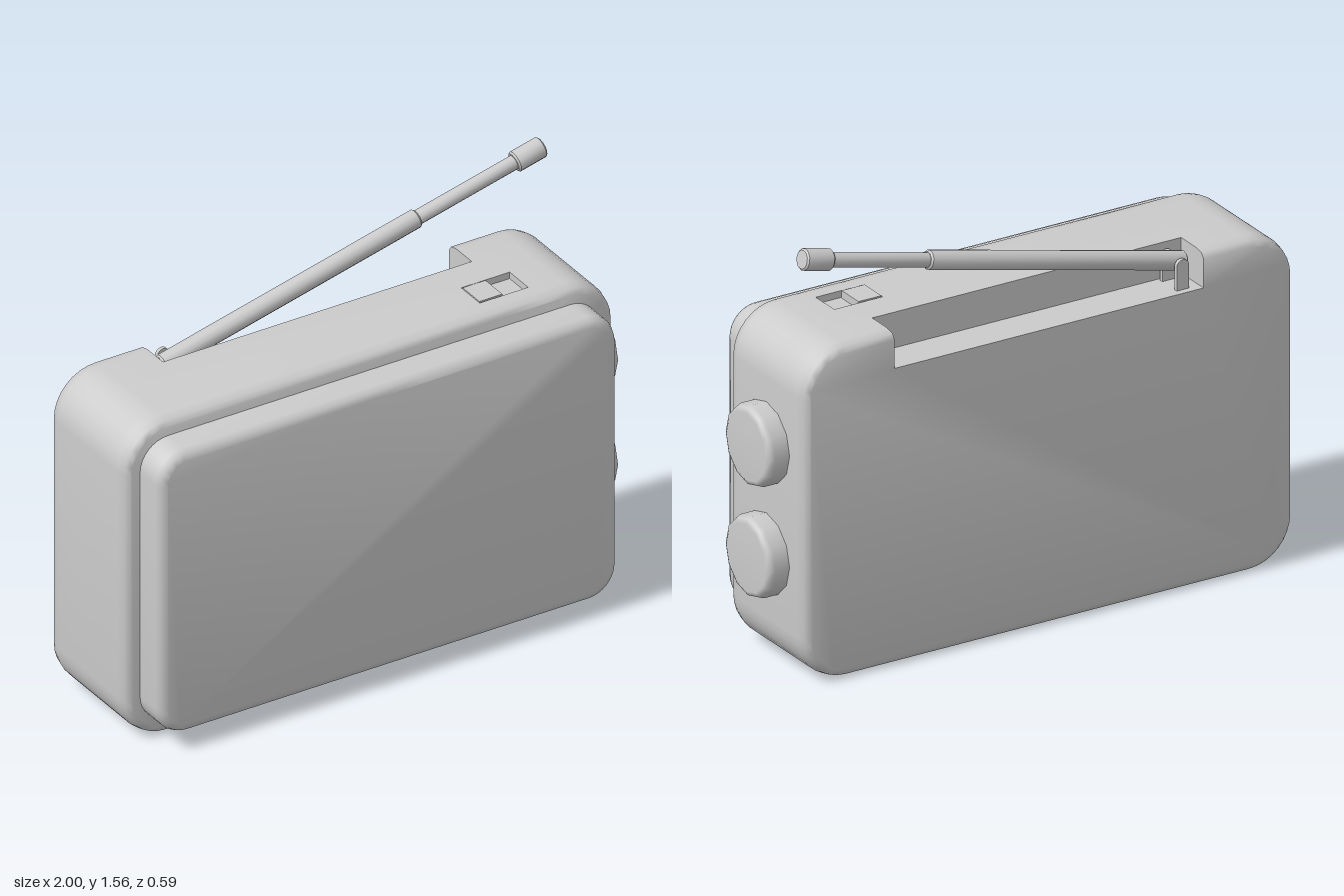
import * as THREE from 'three';
import { toCreasedNormals } from 'three/addons/utils/BufferGeometryUtils.js';

const material = new THREE.MeshStandardMaterial({ color: 0xcccccc });

function add(parent, name, geometry, x = 0, y = 0, z = 0) {
  const mesh = new THREE.Mesh(geometry, material);
  mesh.name = name;
  mesh.position.set(x, y, z);
  parent.add(mesh);
  return mesh;
}

// Rounded rectangle, counter-clockwise, with a rectangular cut {x0, x1, depth} in its top edge
function outline(box, inset, cut) {
  const { x0, x1, y0, y1, radius } = box;
  const r = radius - inset, steps = 8, points = [];
  const corners = [[x1 - radius, y0 + radius, -90], [x1 - radius, y1 - radius, 0],
    [x0 + radius, y1 - radius, 90], [x0 + radius, y0 + radius, 180]];
  corners.forEach(([cx, cy, start], i) => {
    for (let s = 0; s <= steps; s++) {
      const a = THREE.MathUtils.degToRad(start + 90 * s / steps);
      points.push(new THREE.Vector2(cx + r * Math.cos(a), cy + r * Math.sin(a)));
    }
    if (i === 1) {
      const top = y1 - inset, floor = cut.depth ? y1 - cut.depth : top;
      points.push(new THREE.Vector2(cut.x1, top), new THREE.Vector2(cut.x1, floor),
        new THREE.Vector2(cut.x0, floor), new THREE.Vector2(cut.x0, top));
    }
  });
  return points;
}

// Skin outlines placed at stations [z, inset, cut], listed from back to front
function loft(box, stations) {
  const rings = stations.map(([z, inset, cut]) =>
    outline(box, inset, cut).map(p => new THREE.Vector3(p.x, p.y, z)));
  const positions = [];
  const triangle = (a, b, c) => {
    if (new THREE.Triangle(a, b, c).getArea() < 1e-8) return;
    for (const p of [a, b, c]) positions.push(p.x, p.y, p.z);
  };
  for (let k = 0; k + 1 < rings.length; k++) {
    const a = rings[k], b = rings[k + 1];
    for (let i = 0; i < a.length; i++) {
      const j = (i + 1) % a.length;
      triangle(a[i], a[j], b[j]);
      triangle(a[i], b[j], b[i]);
    }
  }
  const back = rings[0], front = rings[rings.length - 1];
  const caps = ring => THREE.ShapeUtils.triangulateShape(ring.map(p => new THREE.Vector2(p.x, p.y)), []);
  for (const [a, b, c] of caps(back)) triangle(back[c], back[b], back[a]);
  for (const [a, b, c] of caps(front)) triangle(front[a], front[b], front[c]);
  const geometry = new THREE.BufferGeometry();
  geometry.setAttribute('position', new THREE.Float32BufferAttribute(positions, 3));
  return toCreasedNormals(geometry, 0.9);
}

// Rounded edge: stations going from the end face (z) inwards by depth
function bevel(z, depth, size, cut) {
  return [0, 45, 90].map(deg => {
    const a = THREE.MathUtils.degToRad(deg);
    return [z + depth * (1 - Math.cos(a)), size * (1 - Math.sin(a)), cut];
  });
}

export function createModel() {
  const model = new THREE.Group();
  model.name = 'portableRadio';

  // Case with the antenna recess at the back and the switch slot on top
  const recess = { x0: -0.645, x1: 0.565, depth: 0.13 };
  const slot = { x0: 0.445, x1: 0.635, depth: 0.025 };
  const flat = { x0: 0.445, x1: 0.635, depth: 0 };
  add(model, 'case', loft({ x0: -1, x1: 0.92, y0: 0, y1: 1.21, radius: 0.17 }, [
    ...bevel(-0.295, 0.045, 0.025, recess),
    [-0.155, 0, recess],
    [-0.155, 0, { ...recess, depth: 0 }],
    [-0.03, 0, flat],
    [-0.03, 0, slot],
    [0.085, 0, slot],
    [0.085, 0, flat],
    ...bevel(0.17, -0.045, 0.025, flat).reverse(),
  ]));

  // Raised front panel
  const plain = { x0: -0.1, x1: 0.1, depth: 0 };
  add(model, 'frontPanel', loft({ x0: -0.94, x1: 0.855, y0: 0.065, y1: 1.15, radius: 0.11 }, [
    [0.16, 0, plain],
    ...bevel(0.295, -0.03, 0.03, plain).reverse(),
  ]));

  // Sliding switch
  add(model, 'switchButton', new THREE.BoxGeometry(0.09, 0.035, 0.105), 0.492, 1.195, 0.0275);

  // Two dials on the side
  const dialProfile = [[0.145, -0.01], [0.145, 0.055], [0.138, 0.072], [0.122, 0.08], [0, 0.08]]
    .map(([r, h]) => new THREE.Vector2(r, h));
  const dial = new THREE.LatheGeometry(dialProfile, 12).rotateZ(-Math.PI / 2);
  add(model, 'upperDial', dial, 0.92, 0.81, -0.06);
  add(model, 'lowerDial', dial, 0.92, 0.405, -0.06);

  // Hinge: two rounded lugs and a pin
  const hinge = new THREE.Group();
  hinge.name = 'antennaHinge';
  hinge.position.set(-0.58, 1.165, -0.2175);
  model.add(hinge);
  const lugShape = new THREE.Shape();
  lugShape.moveTo(-0.024, -0.09).lineTo(0.024, -0.09).lineTo(0.024, 0).absarc(0, 0, 0.024, 0, Math.PI);
  const lug = new THREE.ExtrudeGeometry(lugShape, { depth: 0.014, bevelEnabled: false, curveSegments: 8 });
  for (const z of [-0.052, 0.038]) add(hinge, 'hingeLug', lug, 0, 0, z);
  add(hinge, 'hingePin', new THREE.CylinderGeometry(0.012, 0.012, 0.09, 10).rotateX(Math.PI / 2));

  // Telescopic antenna, built along y and then leaned over
  const antenna = new THREE.Group();
  antenna.name = 'antenna';
  antenna.position.set(-0.6, 1.162, -0.2175);
  antenna.rotation.z = Math.atan2(0.361, 1.48) - Math.PI / 2;
  model.add(antenna);
  const rod = (name, r, from, to, round) => {
    const profile = [[0, from], [r - round, from], [r, from + round], [r, to - round], [r - round, to], [0, to]]
      .map(([x, y]) => new THREE.Vector2(x, y));
    add(antenna, name, toCreasedNormals(new THREE.LatheGeometry(profile, 12), 0.7));
  };
  rod('antennaBase', 0.034, -0.015, 1.02, 0.006);
  rod('antennaInner', 0.026, 1.0, 1.43, 0.002);
  rod('antennaTip', 0.038, 1.41, 1.523, 0.006);

  return model;
}
